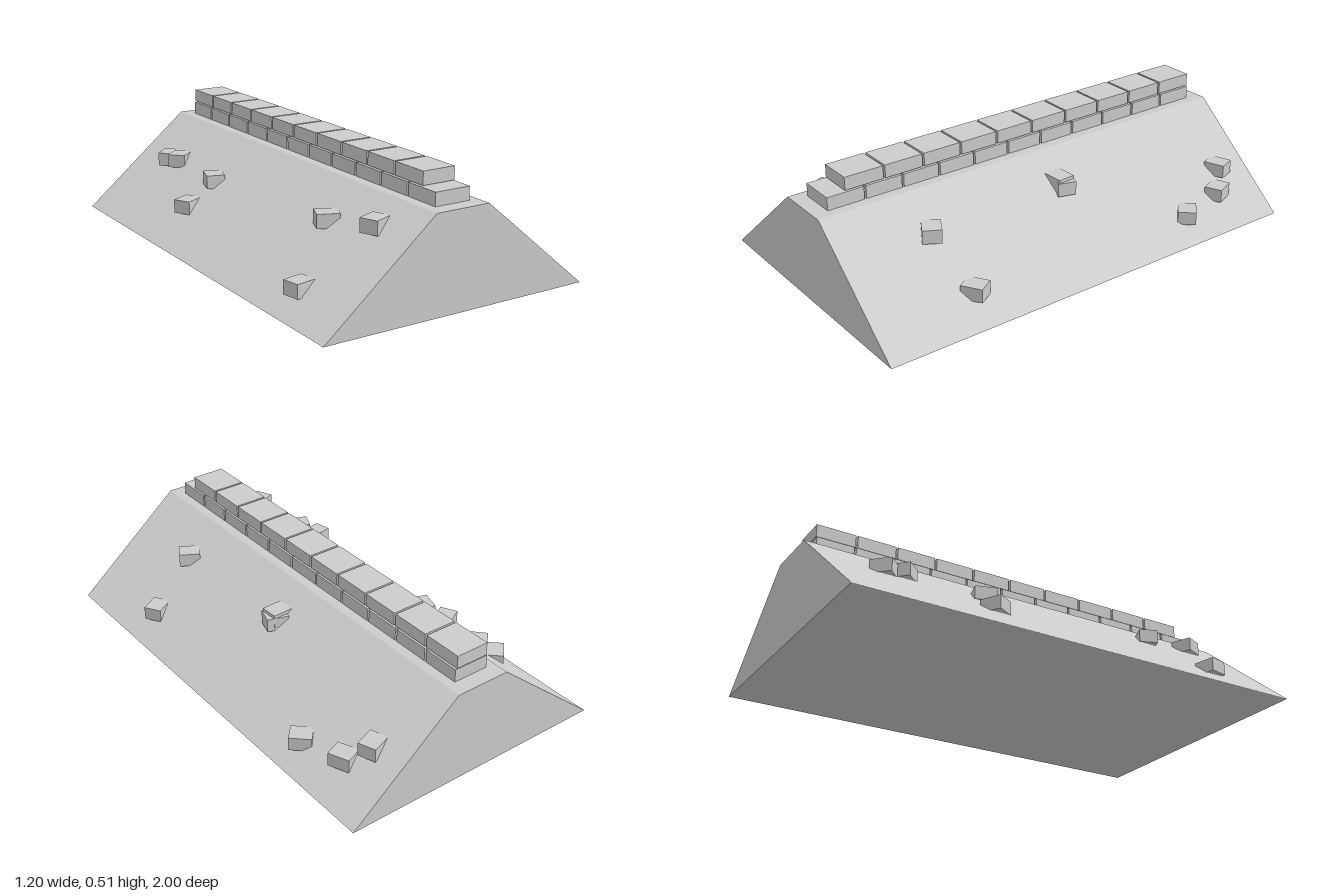
import * as THREE from 'three';

const stone = new THREE.MeshStandardMaterial({ color: 0xcccccc });
stone.name = 'light grey stone';

// Trapezoid profile of the embankment, clockwise seen from the front
const PROFILE = [[-0.6, 0], [-0.12, 0.4], [0.12, 0.4], [0.6, 0]];

function add(parent, name, geometry, x = 0, y = 0, z = 0, turn = 0) {
  const mesh = new THREE.Mesh(geometry, stone);
  mesh.name = name;
  mesh.position.set(x, y, z);
  mesh.rotation.y = turn;
  parent.add(mesh);
  return mesh;
}

// Long face between two profile corners, swelling gently outwards by bulge;
// swelling faces get soft normals that roll into the crest
function longFace([x0, y0], [x1, y1], bulge) {
  const g = new THREE.PlaneGeometry(1, 1, bulge ? 4 : 1, bulge ? 16 : 1);
  const p = g.attributes.position;
  const len = Math.hypot(x1 - x0, y1 - y0);
  const nx = -(y1 - y0) / len, ny = (x1 - x0) / len;
  const soft = new THREE.Vector3(nx, ny + (bulge ? 0.75 : 0), 0).normalize();
  for (let i = 0; i < p.count; i++) {
    const u = p.getX(i) + 0.5, v = p.getY(i) + 0.5;
    const wave = 0.6 + 0.4 * Math.sin(v * 23 + u * 3);
    const d = bulge * Math.sin(Math.PI * u) * Math.sin(Math.PI * v) * wave;
    p.setXYZ(i, x0 + (x1 - x0) * u + nx * d, y0 + (y1 - y0) * u + ny * d, 1 - 2 * v);
    g.attributes.normal.setXYZ(i, soft.x, soft.y, 0);
  }
  return g;
}

// One row of blocks running along z from zFront towards the back
function course(parent, name, count, pitch, zFront, y, width) {
  const group = new THREE.Group();
  group.name = name;
  const block = new THREE.BoxGeometry(width, 0.055, pitch - 0.009);
  for (let i = 0; i < count; i++) {
    add(group, 'wallBlock', block, 0, y, zFront - pitch * (i + 0.5));
  }
  parent.add(group);
}

export function createModel() {
  const model = new THREE.Group();
  model.name = 'embankmentWall';

  // Earthwork: four long faces and two ends
  const mound = new THREE.Group();
  mound.name = 'embankment';
  ['leftSlope', 'crest', 'rightSlope', 'underside'].forEach((name, i) => {
    // The model's own left is +x, so the -x slope is its right
    const label = { leftSlope: 'rightSlope', rightSlope: 'leftSlope' }[name] ?? name;
    const bulge = name.endsWith('Slope') ? 0.006 : 0;
    add(mound, label, longFace(PROFILE[i], PROFILE[(i + 1) % 4], bulge));
  });
  const end = new THREE.ShapeGeometry(new THREE.Shape(PROFILE.map(([x, y]) => new THREE.Vector2(x, y))));
  add(mound, 'frontEnd', end, 0, 0, 1);
  add(mound, 'backEnd', end, 0, 0, -1, Math.PI);
  model.add(mound);

  // Two staggered courses of blocks along the crest
  course(model, 'lowerCourse', 11, 0.1705, 0.94, 0.428, 0.157);
  course(model, 'upperCourse', 10, 0.1795, 0.858, 0.487, 0.146);

  // Fallen stones half sunk in the slopes: x, z, turn
  const rubble = new THREE.Group();
  rubble.name = 'fallenStones';
  const stoneBlock = new THREE.BoxGeometry(0.092, 0.058, 0.078);
  const fallen = [
    [0.385, -0.84, 0.35], [0.463, -0.765, 1.97], [0.5, -0.55, -0.75],
    [0.25, -0.048, 0.05], [0.267, -0.055, -0.3], [0.272, 0.6, -0.52], [0.483, 0.547, 0.55],
    [-0.31, -0.745, 0.8], [-0.3, -0.66, 0.75], [-0.435, -0.325, 0.5], [-0.315, -0.307, 1.27],
    [-0.275, 0.525, -0.4], [-0.495, 0.68, 0.2], [-0.23, 0.778, 0.4],
  ];
  for (const [x, z, turn] of fallen) {
    const slopeY = 0.4 - (Math.abs(x) - 0.12) / 1.2;
    add(rubble, 'fallenStone', stoneBlock, x, slopeY + 0.013, z, turn);
  }
  model.add(rubble);

  return model;
}
